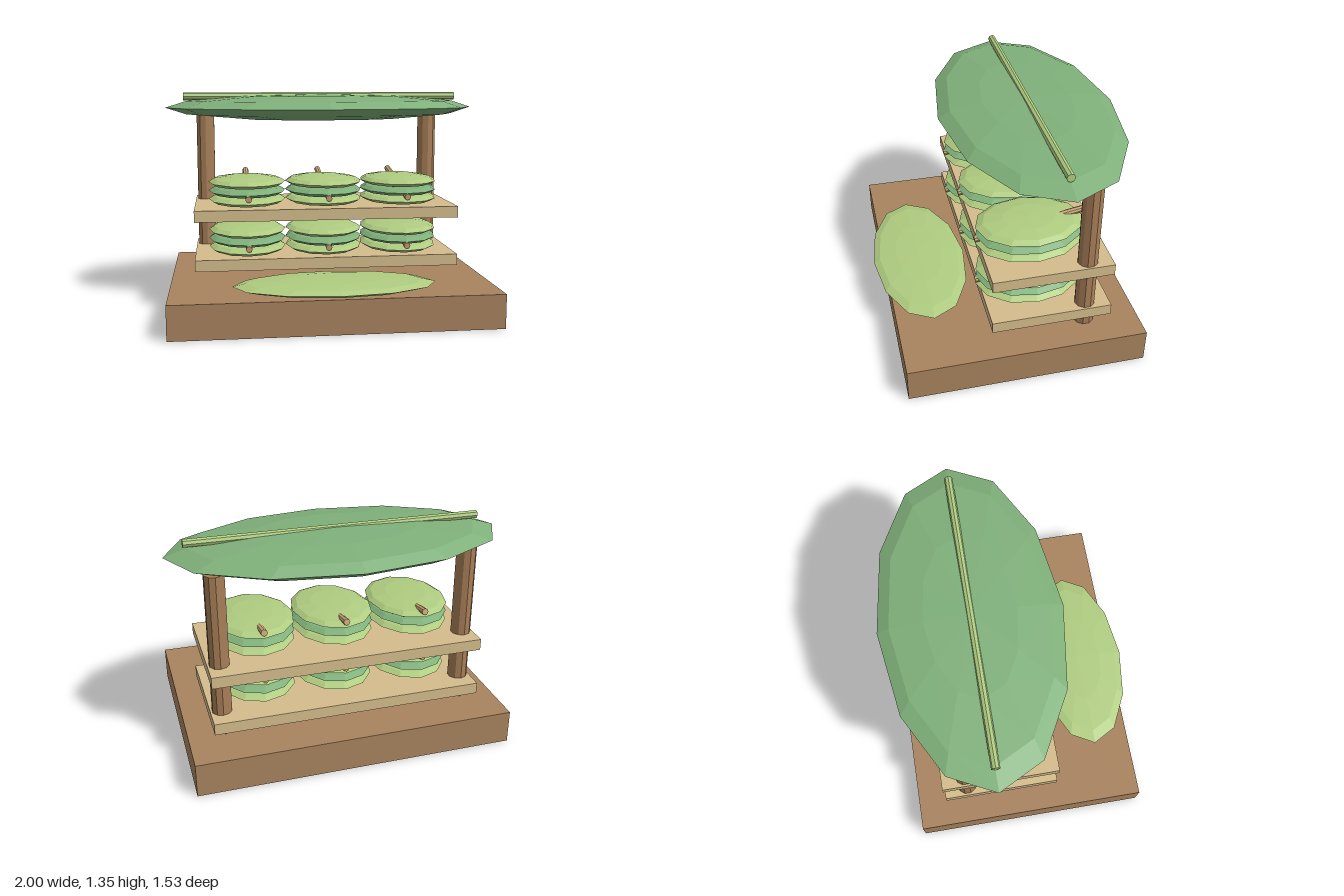
import * as THREE from 'three';

const mat = (color) => new THREE.MeshStandardMaterial({ color, flatShading: true });

export function createModel() {
  const root = new THREE.Group();
  const earth = mat(0xa8835e);
  const wood = mat(0xa87f58);
  const plank = mat(0xd4bd8c);
  const darkLeaf = mat(0x7fb07a);
  const lightLeaf = mat(0xafcc80);
  const twig = mat(0xcfa878);

  const add = (parent, name, geometry, material, x, y, z) => {
    const mesh = new THREE.Mesh(geometry, material);
    mesh.name = name;
    mesh.position.set(x, y, z);
    parent.add(mesh);
    return mesh;
  };
  // Flattened low-poly leaf pad
  const leaf = (rx, ry, rz) => new THREE.SphereGeometry(1, 12, 6).scale(rx, ry, rz);

  // Base slab and the two rear posts
  add(root, 'base', new THREE.BoxGeometry(1.93, 0.205, 1.425), earth, 0, 0.1025, -0.022);
  for (const side of [-1, 1]) {
    add(root, 'post', new THREE.CylinderGeometry(0.06, 0.06, 1, 10), wood, side * 0.75, 0.7, -0.41);
  }

  // Leaf roof with its central rib
  add(root, 'roofLeaf', leaf(1, 0.085, 0.535), darkLeaf, 0, 1.25, -0.23);
  const rib = new THREE.CylinderGeometry(0.025, 0.025, 1.77, 8).rotateZ(Math.PI / 2);
  add(root, 'roofRib', rib, lightLeaf, 0, 1.322, -0.228);

  // Leaf mat lying at the front of the base
  add(root, 'frontLeaf', leaf(0.6, 0.037, 0.293), lightLeaf, 0, 0.242, 0.467);

  // Two shelves, each with three stacked leaf bundles pinned by a slanted stick
  const shelfGeometry = new THREE.BoxGeometry(1.64, 0.07, 0.72);
  const padGeometry = leaf(0.245, 0.04, 0.32);
  const stickGeometry = new THREE.CylinderGeometry(0.02, 0.02, 0.66, 8).rotateX(Math.PI / 2 + 0.175);
  for (const y of [0.3, 0.605]) {
    add(root, 'shelf', shelfGeometry, plank, 0, y, -0.195);
    for (const x of [-0.49, 0, 0.49]) {
      const bundle = new THREE.Group();
      bundle.name = 'leafBundle';
      bundle.position.set(x, y, -0.127);
      for (let i = 0; i < 3; i++) {
        add(bundle, 'leafLayer', padGeometry, i === 1 ? darkLeaf : lightLeaf, 0, 0.07 + i * 0.055, 0);
      }
      add(bundle, 'bundleStick', stickGeometry, twig, 0, 0.16, 0);
      root.add(bundle);
    }
  }
  return root;
}
